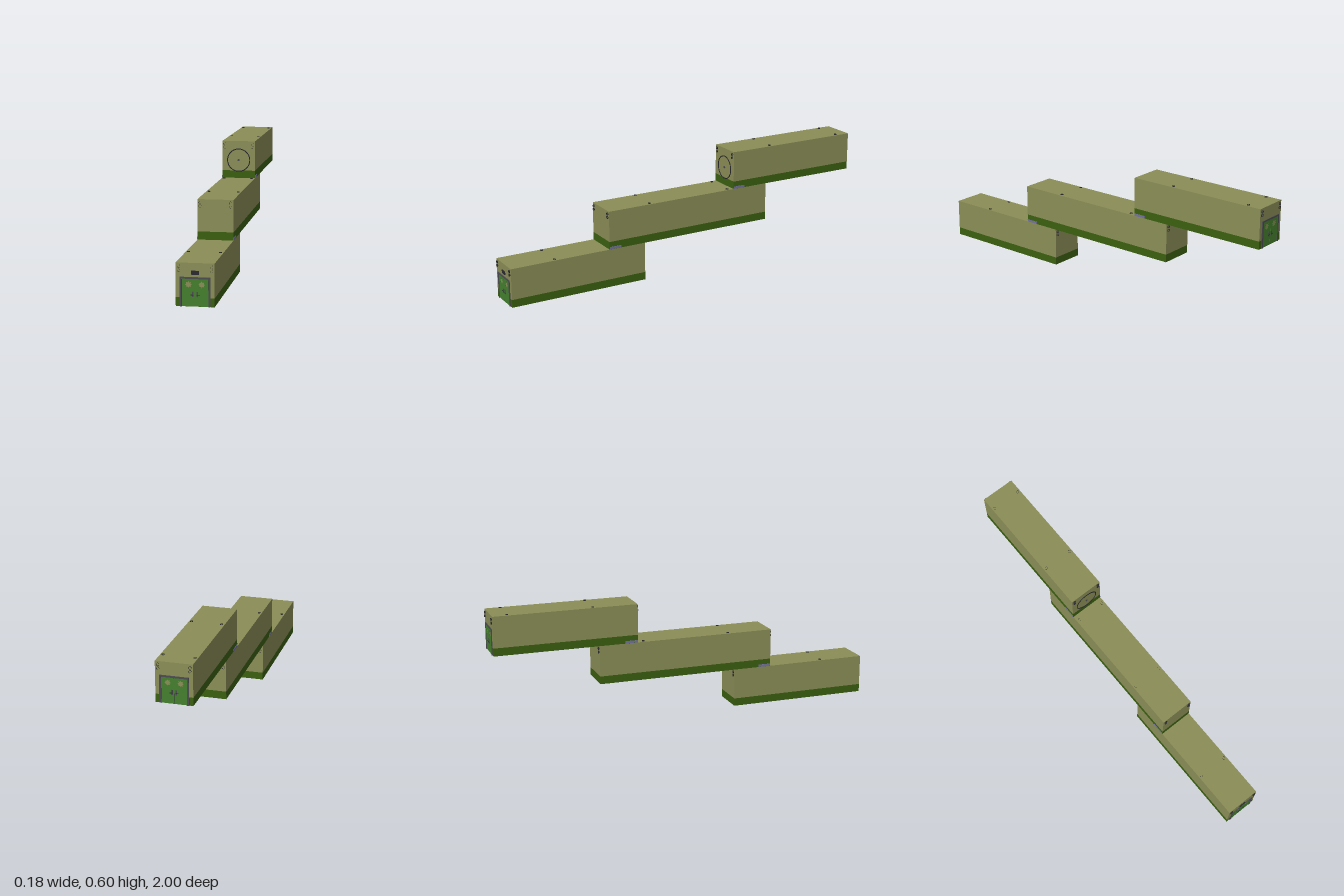
import * as THREE from 'three';

const mat = (name, color) => {
  const m = new THREE.MeshStandardMaterial({ color });
  m.name = name;
  return m;
};

export function createModel() {
  const olive = mat('olive wall', 0x8b8e57);
  const band = mat('dark green band', 0x3b6010);
  const doorGreen = mat('door green', 0x45802e);
  const grey = mat('frame grey', 0x4d4b52);
  const dark = mat('dark metal', 0x2b2b30);
  const floorBlue = mat('floor blue grey', 0x7572a0);
  dark.side = THREE.DoubleSide;

  const W = 0.176, H = 0.198, BAND = 0.04, PIPE = 0.005;
  const model = new THREE.Group();
  model.name = 'steppedContainers';

  const add = (parent, name, geo, material, x = 0, y = 0, z = 0) => {
    const mesh = new THREE.Mesh(geo, material);
    mesh.name = name;
    mesh.position.set(x, y, z);
    parent.add(mesh);
    return mesh;
  };
  const box = (parent, name, size, material, x, y, z) =>
    add(parent, name, new THREE.BoxGeometry(...size), material, x, y, z);

  // Open vent pipe, standing on y by default
  const pipeGeo = new THREE.CylinderGeometry(0.007, 0.007, PIPE, 10, 1, true);

  // One container: floor, coloured band, walls, corner vents and roof vents
  function container(name, y, z0, z1, roofVents) {
    const g = new THREE.Group();
    g.name = name;
    g.position.y = y;
    const len = z1 - z0, mid = (z0 + z1) / 2;
    box(g, 'lowerBand', [W, BAND, len], [band, band, band, floorBlue, band, band], 0, BAND / 2, mid);
    box(g, 'upperWalls', [W, H - BAND, len], olive, 0, (H + BAND) / 2, mid);
    for (const x of [-0.074, 0.074]) {
      for (const z of [z0 - PIPE / 2, z1 + PIPE / 2])
        for (const py of [H - 0.015, H - 0.033])
          add(g, 'cornerVent', pipeGeo, dark, x, py, z).rotation.x = Math.PI / 2;
      for (const z of roofVents) add(g, 'roofVent', pipeGeo, dark, x, H + 0.001, z);
    }
    model.add(g);
    return g;
  }

  // Door leaf with a star-shaped opening
  function leafGeometry() {
    const s = new THREE.Shape();
    s.moveTo(-0.0295, 0); s.lineTo(0.0295, 0); s.lineTo(0.0295, 0.125); s.lineTo(-0.0295, 0.125);
    s.closePath();
    const star = new THREE.Path();
    for (let i = 0; i < 16; i++) {
      const r = i % 2 ? 0.0105 : 0.016, a = -i * Math.PI / 8;
      const p = [r * Math.cos(a), 0.099 + r * Math.sin(a)];
      i ? star.lineTo(...p) : star.moveTo(...p);
    }
    star.closePath();
    s.holes.push(star);
    return new THREE.ExtrudeGeometry(s, { depth: 0.002, bevelEnabled: false });
  }
  const leafGeo = leafGeometry();

  // Double door facing +z, its back on z = 0
  function doubleDoor() {
    const d = new THREE.Group();
    d.name = 'doubleDoor';
    for (const s of [-1, 1]) {
      add(d, 'doorLeaf', leafGeo, doorGreen, s * 0.03, 0.001, 0);
      box(d, 'doorPost', [0.009, 0.133, 0.004], grey, s * 0.0645, 0.0665, 0.002);
      box(d, 'handlePlate', [0.008, 0.024, 0.0015], grey, s * 0.01, 0.056, 0.0027);
      box(d, 'handleLever', [0.014, 0.003, 0.0015], dark, s * 0.014, 0.053, 0.0042);
    }
    box(d, 'doorLintel', [0.138, 0.008, 0.004], grey, 0, 0.130, 0.002);
    box(d, 'doorGap', [0.001, 0.125, 0.001], dark, 0, 0.0635, 0.0006);
    return d;
  }

  const lower = container('lowerContainer', 0, 0.265, 0.995, [0.76]);
  const middle = container('middleContainer', H, -0.462, 0.465, [0.23, -0.23]);
  const upper = container('upperContainer', 2 * H, -0.995, -0.262, [-0.49, -0.92]);

  // Front entrance with sign plate
  const frontDoor = doubleDoor();
  frontDoor.position.z = 0.995;
  lower.add(frontDoor);
  box(lower, 'signPlate', [0.036, 0.018, 0.003], dark, 0, 0.154, 0.9965);

  // Rear entrance
  const rearDoor = doubleDoor();
  rearDoor.position.z = -0.995;
  rearDoor.rotation.y = Math.PI;
  upper.add(rearDoor);

  // Round dial on the upper front wall
  add(upper, 'dialRing', new THREE.TorusGeometry(0.06, 0.0025, 8, 48), dark, 0, 0.096, -0.261);
  add(upper, 'dialHub', new THREE.CylinderGeometry(0.006, 0.006, 0.004, 10), grey, 0, 0.096, -0.26)
    .rotation.x = Math.PI / 2;

  // Side plates where a container rests on the one below
  for (const [g, z] of [[middle, 0.432], [upper, -0.295]])
    for (const s of [-1, 1])
      box(g, 'jointPlate', [0.002, 0.012, 0.064], floorBlue, s * (W / 2 + 0.001), 0.007, z);

  return model;
}
